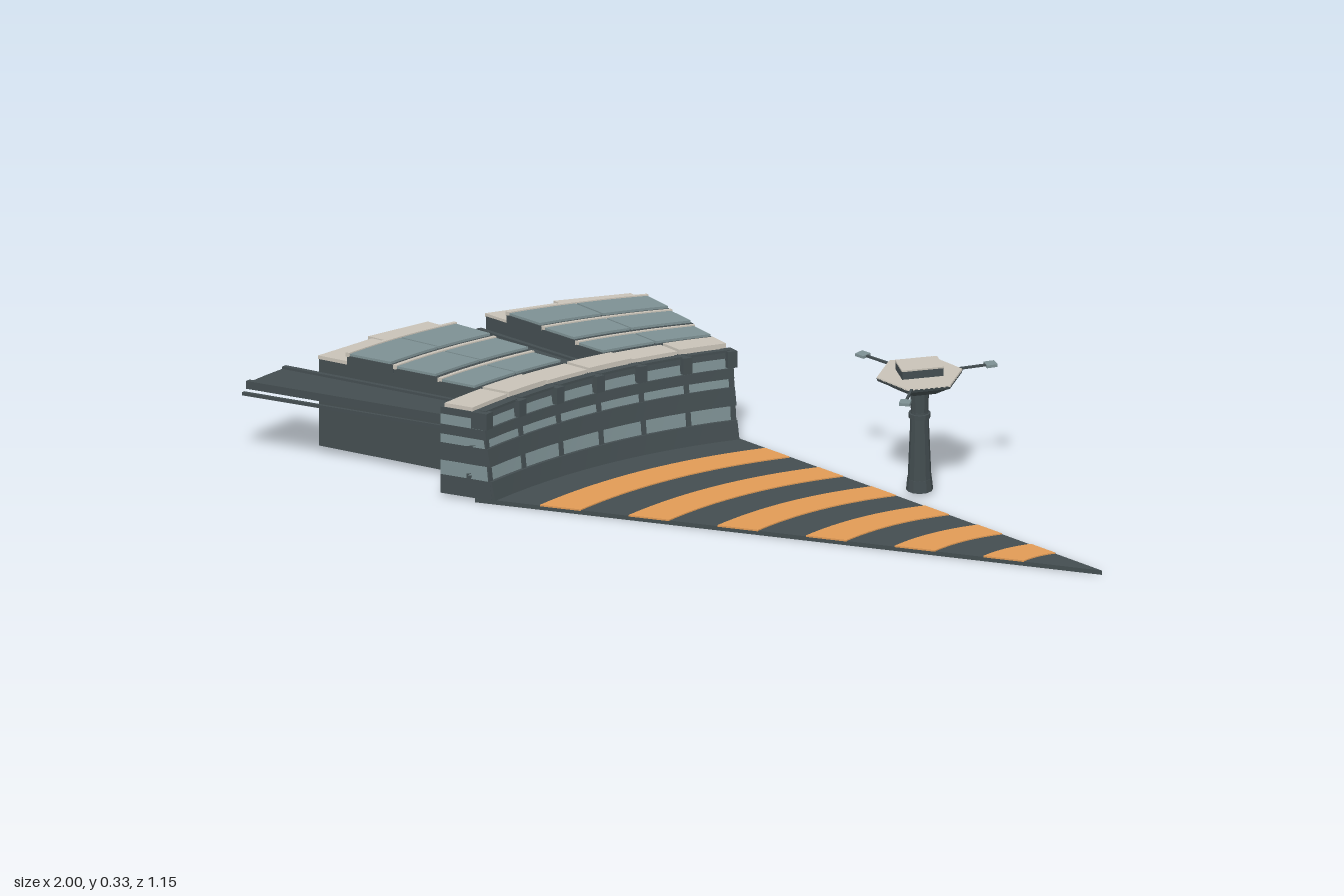
import * as THREE from 'three';
import { toCreasedNormals } from 'three/addons/utils/BufferGeometryUtils.js';

const DARK = 0x434d50, TEAL = 0x7d9093, BEIGE = 0xc8c2b7, ORANGE = 0xe09a55;
const mat = (color) => new THREE.MeshStandardMaterial({ color });

// Plan of the wedge: facade arc, rear arc and the sharp front tip (x, z)
const V = (x, z) => new THREE.Vector2(x, z);
const facadeArc = new THREE.QuadraticBezierCurve(V(-0.43, 0.095), V(-0.18, -0.162), V(0.165, -0.26));
const rearArc = new THREE.QuadraticBezierCurve(V(-0.93, -0.14), V(-0.6, -0.49), V(-0.067, -0.578));
const tip = V(1, 0.57);

// u runs along the arcs; v = 0 at the facade, 1 at the rear, -1 at the tip
function place(u, v, y) {
  const p = facadeArc.getPoint(u);
  p.lerp(v < 0 ? tip : rearArc.getPoint(u), Math.abs(v));
  return [p.x, y, p.y];
}

// Closed curved block; lean shifts the front edge of its top
function block(parent, name, color, [u0, u1], [v0, v1], [y0, y1], segs = 4, lean = 0) {
  const section = [[v0 + lean, y1], [v1, y1], [v1, y0], [v0, y0]];
  const ring = (i) => section.map(([v, y]) => place(u0 + (u1 - u0) * i / segs, v, y));
  const pos = [];
  const quad = (a, b, c, d) => pos.push(...a, ...b, ...c, ...a, ...c, ...d);
  for (let i = 0; i < segs; i++) {
    const a = ring(i), b = ring(i + 1);
    for (let k = 0; k < 4; k++) {
      const n = (k + 1) % 4;
      quad(a[k], b[k], b[n], a[n]);
    }
  }
  const s = ring(0), e = ring(segs);
  quad(s[0], s[1], s[2], s[3]);
  quad(e[3], e[2], e[1], e[0]);
  const geo = new THREE.BufferGeometry();
  geo.setAttribute('position', new THREE.Float32BufferAttribute(pos, 3));
  const mesh = new THREE.Mesh(toCreasedNormals(geo, 0.4), mat(color));
  mesh.name = name;
  parent.add(mesh);
}

function group(parent, name) {
  const g = new THREE.Group();
  g.name = name;
  parent.add(g);
  return g;
}

function buildDeck(root) {
  const g = group(root, 'deck');
  block(g, 'deckFloor', DARK, [0, 1], [-0.9999, 0.06], [0, 0.011], 16);
  for (let i = 0; i < 6; i++) {
    const t = 0.117 + i * 0.1445;
    block(g, 'deckStripe', ORANGE, [0.002, 0.998], [-t - 0.033, -t + 0.033], [0.01, 0.014], 16);
  }
}

function buildFacade(root) {
  const g = group(root, 'facade');
  // Alternating wall and window bands, leaning back as they rise
  const bands = [
    [0.01, 0.058, DARK, -0.012], [0.058, 0.095, TEAL, 0.0], [0.095, 0.14, DARK, -0.004],
    [0.14, 0.162, TEAL, 0.014], [0.162, 0.187, DARK, 0.008], [0.187, 0.213, TEAL, 0.024],
    [0.213, 0.23, DARK, 0.022],
  ];
  for (const [y0, y1, color, v] of bands)
    block(g, color === TEAL ? 'windowBand' : 'wallBand', color, [0, 1], [v, 0.22], [y0, y1], 12, 0.006);

  // Roof panels, seams and pilasters
  const n = 6;
  for (let i = 0; i < n; i++) {
    const a = i / n, b = (i + 1) / n;
    block(g, 'facadeRoofPanel', BEIGE, [a + 0.004, b - 0.004], [0.075, 0.205], [0.228, 0.24 + (i % 2) * 0.003], 3);
    block(g, 'parapet', DARK, [a + 0.01, b - 0.01], [0.02, 0.05], [0.228, 0.234], 3);
  }
  for (let i = 0; i <= n; i++) {
    const u = Math.min(0.992, Math.max(0.008, i / n));
    block(g, 'pilaster', DARK, [u - 0.008, u + 0.008], [-0.006, 0.1], [0.012, 0.19], 1, 0.022);
    block(g, 'pilasterHead', DARK, [u - 0.016, u + 0.016], [0.0, 0.07], [0.19, 0.232], 1);
  }
}

// One rear hall: walls, rear roof panels and stepped roof bands
function buildHall(root, name, u0, u1) {
  const g = group(root, name);
  const mid = (u0 + u1) / 2;
  const halves = [[u0, mid, 0], [mid, u1, 0.02]];
  block(g, 'hallBody', DARK, [u0, u1], [0.2, 0.86], [0.015, 0.236], 6);
  for (const [a, b, extra] of halves) {
    block(g, 'rearWall', DARK, [a, b], [0.84, 0.985 + extra], [0.015, 0.238], 1);
    block(g, 'rearRoofPanel', BEIGE, [a, b], [0.85, 0.99 + extra], [0.236, 0.245 + extra * 0.15], 1);
  }
  const tiers = [[0.23, 0.4, 0.246], [0.42, 0.62, 0.256], [0.64, 0.85, 0.264]];
  for (const [v0, v1, y] of tiers) {
    block(g, 'tierBase', DARK, [u0, u1], [v0 - 0.015, v1], [0.23, y - 0.006], 6);
    for (const [a, b] of halves)
      block(g, 'tierRoof', TEAL, [a + 0.003, b - 0.003], [v0, v1], [y - 0.008, y], 4);
    block(g, 'tierTrim', BEIGE, [u0, u1], [v1 - 0.012, v1 + 0.006], [y - 0.008, y + 0.003], 6);
  }
}

// Sunken walkway between the halls, with raised kerbs
function buildWalkway(root, name, u0, u1, vEnd) {
  const g = group(root, name);
  block(g, 'walkwaySlab', DARK, [u0, u1], [0.19, vEnd], [0.186, 0.2], 2);
  for (const [a, b] of [[u0, u0 + 0.012], [u1 - 0.012, u1]])
    block(g, 'walkwayKerb', DARK, [a, b], [0.2, vEnd], [0.196, 0.206], 1);
}

function buildTower(root) {
  const g = group(root, 'tower');
  g.position.set(0.588, 0, 0.06);
  const add = (name, geo, color, y, rot = 0, parent = g) => {
    const m = new THREE.Mesh(toCreasedNormals(geo, 0.5), mat(color));
    m.name = name;
    m.position.y = y;
    m.rotation.y = rot;
    parent.add(m);
    return m;
  };
  const cyl = (top, bottom, h, n) => new THREE.CylinderGeometry(top, bottom, h, n);
  const hex = THREE.MathUtils.degToRad(42), tilt = THREE.MathUtils.degToRad(12);
  add('towerFoot', cyl(0.029, 0.032, 0.03, 12), DARK, 0.025);
  add('towerShaft', cyl(0.021, 0.028, 0.17, 12), DARK, 0.125);
  add('towerCollar', cyl(0.026, 0.026, 0.012, 12), DARK, 0.2);
  add('towerNeck', cyl(0.023, 0.02, 0.075, 12), DARK, 0.237);
  add('cabinUnderside', cyl(0.1, 0.055, 0.027, 6), DARK, 0.283, hex);
  add('cabinRim', cyl(0.105, 0.102, 0.008, 6), DARK, 0.3, hex);
  add('cabinRoof', cyl(0.103, 0.105, 0.004, 6), BEIGE, 0.305, hex);
  add('roofHouse', new THREE.BoxGeometry(0.1, 0.022, 0.065), DARK, 0.317, tilt);
  add('roofHouseTop', new THREE.BoxGeometry(0.102, 0.004, 0.067), BEIGE, 0.329, tilt);
  // Three sensor arms
  for (let i = 0; i < 3; i++) {
    const arm = group(g, 'sensorArm');
    arm.rotation.y = THREE.MathUtils.degToRad(17 + i * 120);
    add('armRod', new THREE.BoxGeometry(0.1, 0.005, 0.006), DARK, 0.304, 0, arm).position.x = 0.13;
    add('armPad', new THREE.BoxGeometry(0.026, 0.007, 0.026), TEAL, 0.304, 0, arm).position.x = 0.177;
  }
}

export function createModel() {
  const root = new THREE.Group();
  root.name = 'wedgeStation';
  buildDeck(root);
  buildFacade(root);
  buildHall(root, 'rightHall', 0.155, 0.5);
  buildHall(root, 'leftHall', 0.645, 1);
  buildWalkway(root, 'outerWalkway', 0.015, 0.15, 1.14);
  buildWalkway(root, 'centreWalkway', 0.502, 0.643, 1.01);
  block(root, 'outerRail', DARK, [0, 0.008], [0.19, 1.14], [0.174, 0.182], 1);
  buildTower(root);
  return root;
}
